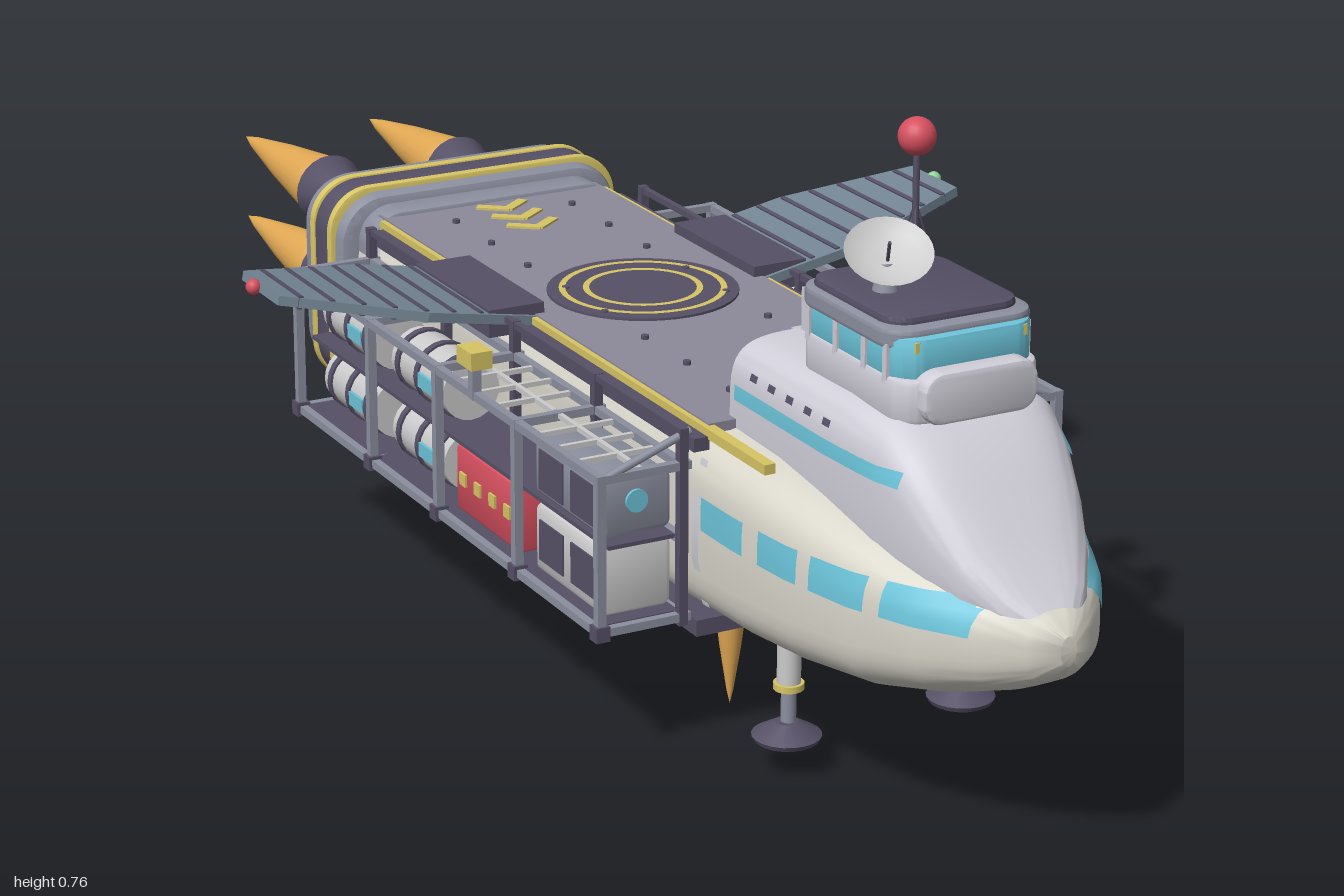
import * as THREE from 'three';
import { toCreasedNormals } from 'three/addons/utils/BufferGeometryUtils.js';

const C = { hull: 0xd8d5ca, upper: 0xcfced8, dark: 0x565066, deck: 0x8d899b, steel: 0x8c909f, blue: 0x6cc4da,
  yellow: 0xd8c565, red: 0xd6505f, flame: 0xe2a954, wing: 0x748795, white: 0xdedfdd, green: 0x8fd694 };
const mats = {};
const mat = (c) => (mats[c] ??= new THREE.MeshStandardMaterial({ color: c, side: THREE.DoubleSide }));

export function createModel() {
  const root = new THREE.Group();
  let target = root;
  const section = (name) => { target = new THREE.Group(); target.name = name; root.add(target); };
  const add = (name, geo, color, x = 0, y = 0, z = 0) => {
    const m = new THREE.Mesh(geo, mat(color));
    m.name = name;
    m.position.set(x, y, z);
    target.add(m);
    return m;
  };
  const box = (name, w, h, d, x, y, z, c) => add(name, new THREE.BoxGeometry(w, h, d), c, x, y, z);
  const cyl = (name, r0, r1, h, x, y, z, c, n = 20) => add(name, new THREE.CylinderGeometry(r0, r1, h, n), c, x, y, z);
  const rod = (name, a, b, r, c) => {
    const p = new THREE.Vector3(...a), q = new THREE.Vector3(...b), d = q.clone().sub(p);
    const m = cyl(name, r, r, d.length(), 0, 0, 0, c, 8);
    m.position.copy(p).add(q).multiplyScalar(0.5);
    m.quaternion.setFromUnitVectors(new THREE.Vector3(0, 1, 0), d.normalize());
    return m;
  };
  // Rounded rectangle slab, centred, extruded along z
  const slab = (w, h, d, r, bevel = 0.006) => {
    const s = new THREE.Shape(), a = w / 2 - bevel, b = h / 2 - bevel;
    s.absarc(a - r, b - r, r, 0, Math.PI / 2);
    s.absarc(-a + r, b - r, r, Math.PI / 2, Math.PI);
    s.absarc(-a + r, -b + r, r, Math.PI, Math.PI * 1.5);
    s.absarc(a - r, -b + r, r, Math.PI * 1.5, Math.PI * 2);
    const g = new THREE.ExtrudeGeometry(s, { depth: d - 2 * bevel, bevelEnabled: true, bevelSize: bevel, bevelThickness: bevel, bevelSegments: 2, curveSegments: 6 });
    return toCreasedNormals(g.translate(0, 0, bevel - d / 2), 0.6);
  };
  // Superelliptic shell through stations [z, halfWidth, bottom, top, exponent]
  const station = (st, z) => {
    let i = 0;
    while (i < st.length - 2 && z > st[i + 1][0]) i++;
    const t = (z - st[i][0]) / (st[i + 1][0] - st[i][0]);
    return st[i].map((v, k) => v + (st[i + 1][k] - v) * t);
  };
  const loft = (st, n = 48) => {
    const pos = [], idx = [];
    st.forEach(([z, w, y0, y1, e]) => {
      for (let j = 0; j < n; j++) {
        const t = (j / n) * Math.PI * 2, c = Math.cos(t), s = Math.sin(t), f = (v) => Math.sign(v) * Math.abs(v) ** (2 / e);
        pos.push(w * f(c), (y0 + y1) / 2 + ((y1 - y0) / 2) * f(s), z);
      }
    });
    for (let i = 0; i < st.length - 1; i++) for (let j = 0; j < n; j++) {
      const k = (j + 1) % n, a = i * n;
      idx.push(a + j, a + k, a + n + k, a + j, a + n + k, a + n + j);
    }
    const last = (st.length - 1) * n;
    for (let j = 1; j < n - 1; j++) idx.push(0, j + 1, j, last, last + j, last + j + 1);
    const g = new THREE.BufferGeometry();
    g.setAttribute('position', new THREE.Float32BufferAttribute(pos, 3));
    g.setIndex(idx);
    return toCreasedNormals(g, 0.7);
  };
  // Strip lying on the side of a shell
  const band = (name, st, s, z0, z1, y0, y1, c) => {
    const g = new THREE.PlaneGeometry(1, 1, 10, 3), p = g.attributes.position;
    for (let i = 0; i < p.count; i++) {
      const z = z0 + (p.getX(i) + 0.5) * (z1 - z0), y = y0 + (p.getY(i) + 0.5) * (y1 - y0);
      const [, w, b, t, e] = station(st, z), v = Math.min(1, Math.abs((2 * y - b - t) / (t - b)));
      p.setXYZ(i, s * (w * (1 - v ** e) ** (1 / e) + 0.003), y, z);
    }
    g.computeVertexNormals();
    add(name, g, c);
  };
  const flame = (r, len) => new THREE.LatheGeometry(
    [[0, 0], [r, 0.001], [r * 0.96, len * 0.12], [r * 0.62, len * 0.5], [r * 0.2, len * 0.88], [0, len]].map((p) => new THREE.Vector2(...p)), 24);

  // Hull with pointed nose
  section('hull');
  const hull = [[-0.42, 0.183, 0.155, 0.388, 5], [0.45, 0.185, 0.155, 0.388, 5], [0.6, 0.183, 0.158, 0.386, 4.5], [0.7, 0.174, 0.162, 0.377, 4],
    [0.8, 0.153, 0.17, 0.36, 3.5], [0.88, 0.12, 0.188, 0.34, 3], [0.94, 0.08, 0.21, 0.322, 2.7], [0.98, 0.042, 0.232, 0.308, 2.4], [1, 0.01, 0.255, 0.29, 2]];
  add('hullShell', loft(hull), C.hull);
  box('bellyPlate', 0.36, 0.02, 0.92, 0, 0.15, 0.05, C.dark);
  box('bellySpine', 0.2, 0.008, 0.8, 0, 0.139, 0.05, C.deck);
  box('deck', 0.32, 0.012, 0.9, 0, 0.388, 0.05, C.deck);
  for (const s of [-1, 1]) {
    [[0.53, 0.62], [0.65, 0.72], [0.74, 0.82], [0.84, 0.935]].forEach(([a, b]) => band('sideWindow', hull, s, a, b, 0.28, 0.32, C.blue));
    [[-0.41, -0.36], [0.51, 0.525]].forEach(([a, b]) => band('sidePanel', hull, s, a, b, 0.18, 0.36, C.upper));
    band('rearStripe', hull, s, -0.41, -0.35, 0.28, 0.32, C.blue);
    box('deckEdge', 0.014, 0.012, 1.02, s * 0.16, 0.386, 0.13, C.yellow);
    box('deckRail', 0.02, 0.016, 0.88, s * 0.175, 0.375, 0.07, C.dark);
    for (let i = 0; i < 8; i++) cyl('deckStud', 0.005, 0.005, 0.006, s * 0.085, 0.396, -0.32 + i * 0.105, C.dark, 8);
    for (let i = 0; i < 3; i++) {
      const m = box('deckChevron', 0.045, 0.003, 0.014, s * 0.016, 0.396, -0.35 + i * 0.045, C.yellow);
      m.rotation.y = s * 0.65;
    }
  }
  cyl('landingPad', 0.12, 0.12, 0.004, 0, 0.395, 0.04, C.dark, 40);
  for (const r of [0.105, 0.075]) add('padRing', new THREE.RingGeometry(r - 0.008, r, 40).rotateX(-Math.PI / 2), C.yellow, 0, 0.3985, 0.04);

  // Raised forward house and bridge
  section('bridge');
  const house = [[0.485, 0.125, 0.28, 0.485, 5], [0.7, 0.125, 0.28, 0.49, 4.5], [0.79, 0.12, 0.28, 0.488, 4], [0.83, 0.112, 0.28, 0.462, 3.6],
    [0.87, 0.1, 0.28, 0.42, 3.3], [0.91, 0.082, 0.28, 0.373, 3], [0.95, 0.055, 0.28, 0.33, 3], [0.975, 0.03, 0.28, 0.308, 3]];
  add('houseShell', loft(house), C.upper);
  for (const s of [-1, 1]) {
    band('houseWindow', house, s, 0.5, 0.83, 0.418, 0.436, C.blue);
    for (let i = 0; i < 5; i++) band('houseVent', house, s, 0.53 + i * 0.04, 0.545 + i * 0.04, 0.45, 0.458, C.dark);
    box('rearWindow', 0.03, 0.03, 0.006, s * 0.075, 0.44, 0.484, C.dark);
  }
  box('rearDoorFrame', 0.07, 0.085, 0.02, 0, 0.438, 0.478, C.white);
  box('rearDoor', 0.045, 0.07, 0.006, 0, 0.43, 0.468, C.dark);
  const floor = (name, w, d, h, r, y, z, c) => add(name, slab(w, d, h, r).rotateX(Math.PI / 2), c, 0, y, z);
  floor('bridgeBase', 0.184, 0.235, 0.05, 0.03, 0.5, 0.69, C.upper);
  floor('bridgeGlass', 0.178, 0.225, 0.06, 0.03, 0.54, 0.685, C.blue);
  floor('bridgeRoof', 0.19, 0.215, 0.024, 0.03, 0.566, 0.68, C.steel);
  floor('roofTop', 0.17, 0.19, 0.016, 0.025, 0.579, 0.675, C.dark);
  add('bridgeFront', slab(0.145, 0.06, 0.04, 0.018), C.upper, 0, 0.506, 0.80);
  box('bridgeBack', 0.16, 0.05, 0.01, 0, 0.54, 0.572, C.upper);
  for (const s of [-1, 1]) {
    for (const z of [0.6, 0.66, 0.72, 0.765]) box('windowPost', 0.006, 0.045, 0.009, s * 0.089, 0.538, z, C.upper);
    box('headlamp', 0.026, 0.012, 0.01, s * 0.058, 0.56, 0.79, C.yellow);
  }
  // Mast and dish
  rod('mast', [0.04, 0.58, 0.61], [0.04, 0.72, 0.61], 0.004, C.dark);
  add('mastBall', new THREE.SphereGeometry(0.022, 20, 14), C.red, 0.04, 0.735, 0.61);
  for (let i = 0; i < 3; i++) {
    const a = i * 2.094;
    rod('mastStay', [0.04 + Math.cos(a) * 0.025, 0.585, 0.61 + Math.sin(a) * 0.025], [0.04, 0.66, 0.61], 0.0012, C.dark);
  }
  cyl('dishBase', 0.008, 0.016, 0.035, -0.037, 0.6, 0.675, C.steel);
  const dish = add('dish', new THREE.LatheGeometry([[0, 0], [0.02, 0.002], [0.038, 0.008], [0.05, 0.016]].map((p) => new THREE.Vector2(...p)), 28), C.white, -0.035, 0.62, 0.675);
  const aim = new THREE.Vector3(-0.2, 0.85, 0.48).normalize();
  dish.quaternion.setFromUnitVectors(new THREE.Vector3(0, 1, 0), aim);
  rod('dishFeed', [-0.035, 0.62, 0.675], [-0.042, 0.646, 0.69], 0.002, C.dark);

  // Engine block, nozzles and flames
  section('engines');
  add('engineCollar', slab(0.36, 0.25, 0.06, 0.04), C.steel, 0, 0.275, -0.41);
  add('engineBlock', slab(0.41, 0.27, 0.13, 0.05, 0.014), C.steel, 0, 0.278, -0.485);
  add('engineBand', slab(0.42, 0.28, 0.05, 0.055), C.dark, 0, 0.278, -0.475);
  for (const z of [-0.448, -0.503]) add('engineStripe', slab(0.424, 0.284, 0.014, 0.057, 0.003), C.yellow, 0, 0.278, z);
  add('rearPlate', slab(0.37, 0.23, 0.02, 0.04), C.dark, 0, 0.278, -0.549);
  for (const x of [-0.098, 0.098]) for (const y of [0.218, 0.338]) {
    const neck = cyl('nozzleNeck', 0.033, 0.04, 0.04, x, y, -0.57, C.wing);
    const bell = add('nozzle', new THREE.LatheGeometry([[0.034, 0], [0.03, 0.03], [0.036, 0.07], [0.05, 0.115], [0.04, 0.115]].map((p) => new THREE.Vector2(...p)), 24), C.dark, x, y, -0.585);
    const fire = add('exhaustFlame', flame(0.044, 0.305), C.flame, x, y, -0.695);
    for (const m of [neck, bell, fire]) m.rotation.x = -Math.PI / 2;
  }

  // Landing legs and lift thrusters
  section('undercarriage');
  for (const s of [-1, 1]) {
    for (const z of [0.61, -0.095]) {
      cyl('legUpper', 0.014, 0.014, 0.06, s * 0.115, 0.135, z, C.white);
      cyl('legLower', 0.009, 0.009, 0.06, s * 0.115, 0.085, z, C.steel);
      cyl('legRing', 0.018, 0.018, 0.008, s * 0.115, 0.106, z, C.yellow);
      cyl('foot', 0.014, 0.041, 0.016, s * 0.117, 0.054, z, C.dark);
      cyl('footPad', 0.041, 0.038, 0.006, s * 0.117, 0.043, z, C.dark);
    }
    for (const z of [0.42, -0.295]) {
      cyl('liftNozzle', 0.026, 0.026, 0.02, s * 0.085, 0.15, z, C.dark);
      add('liftFlame', flame(0.021, 0.15), C.flame, s * 0.085, 0.152, z).rotation.x = Math.PI;
    }
  }

  // Wings with ribs and tip lights
  section('wings');
  for (const s of [-1, 1]) {
    box('wingRoot', 0.075, 0.035, 0.21, s * 0.185, 0.39, -0.045, C.dark);
    const shape = new THREE.Shape([[0, 0.065], [0.15, 0.065], [0.325, 0.01], [0.325, -0.1], [0.15, -0.15], [0, -0.15]].map(([x, z]) => new THREE.Vector2(s * x, z)));
    const wing = add('wing', new THREE.ExtrudeGeometry(shape, { depth: 0.012, bevelEnabled: false }).rotateX(Math.PI / 2), C.wing, s * 0.157, 0.392, 0);
    wing.rotation.z = s * 0.185;
    for (let i = 0; i < 8; i++) {
      const x = 0.04 + i * 0.037, k = Math.max(0, (x - 0.15) / 0.175);
      const rib = new THREE.Mesh(new THREE.BoxGeometry(0.006, 0.016, 0.205 - k * 0.1), mat(C.dark));
      rib.name = 'wingRib';
      rib.position.set(s * x, -0.006, -0.0425);
      wing.add(rib);
    }
    add('tipLight', new THREE.SphereGeometry(0.01, 14, 10), s > 0 ? C.green : C.red, s * 0.482, 0.445, -0.055);
  }

  // Cargo racks along both sides
  section('cargoRacks');
  const posts = [0.51, 0.3, 0.085, -0.11, -0.335];
  for (const s of [-1, 1]) {
    for (const x of [0.2, 0.305]) for (const y of [0.17, 0.265, 0.355]) if (y !== 0.265 || x < 0.3)
      box('rackRail', 0.01, 0.01, 0.85, s * x, y, 0.0875, C.steel);
    box('rackFloor', 0.1, 0.006, 0.83, s * 0.25, 0.172, 0.0875, C.dark);
    box('rackShelf', 0.09, 0.005, 0.83, s * 0.245, 0.267, 0.0875, C.dark);
    box('upperRail', 0.008, 0.008, 0.84, s * 0.2, 0.395, 0.085, C.dark);
    for (const z of posts) {
      box('rackPost', 0.011, 0.195, 0.011, s * 0.305, 0.263, z, C.steel);
      box('innerPost', 0.011, 0.24, 0.011, s * 0.2, 0.28, z, C.dark);
      for (const y of [0.17, 0.355]) box('rackBeam', 0.12, 0.01, 0.01, s * 0.25, y, z, C.steel);
      box('rackCorner', 0.018, 0.018, 0.018, s * 0.305, 0.17, z, C.dark);
    }
    rod('rackBrace', [s * 0.3, 0.355, 0.51], [s * 0.19, 0.395, 0.51], 0.005, C.steel);
    const crate = (name, y, z, h, c) => add(name, slab(0.09, h, 0.165, 0.006, 0.004), c, s * 0.247, y, z);
    const tank = (y, z, r) => {
      cyl('tank', r, r, 0.15, s * 0.25, y, z, C.white).rotation.x = Math.PI / 2;
      for (const d of [-0.055, 0, 0.055]) cyl('tankHoop', r + 0.003, r + 0.003, 0.01, s * 0.25, y, z + d, C.dark).rotation.x = Math.PI / 2;
      box('tankLabel', 0.004, 0.018, 0.04, s * (0.25 + r + 0.001), y, z + 0.0275, C.blue);
    };
    // Front bay: machinery above, crate below
    crate('machineCrate', 0.308, 0.405, 0.07, C.steel);
    cyl('machineLens', 0.014, 0.014, 0.006, s * 0.247, 0.313, 0.488, C.blue).rotation.x = Math.PI / 2;
    crate('frontCrate', 0.22, 0.405, 0.085, s > 0 ? C.steel : C.white);
    for (const y of [0.22, 0.308]) for (const z of [0.365, 0.445]) box('cratePanel', 0.004, 0.05, 0.06, s * 0.292, y, z, C.dark);
    // Middle bay: red supply crate under an open grid
    crate('redCrate', 0.222, 0.19, 0.088, C.red);
    for (let i = 0; i < 4; i++) box('crateStud', 0.004, 0.016, 0.016, s * 0.293, 0.225, 0.13 + i * 0.04, C.yellow);
    for (const z of [0.14, 0.19, 0.24, 0.35, 0.4, 0.45]) box('rackGrid', 0.1, 0.006, 0.006, s * 0.25, 0.356, z, C.white);
    for (const z of [0.19, 0.405]) box('rackGridSpine', 0.006, 0.006, 0.2, s * 0.25, 0.356, z, C.white);
    // Rear bays: stacked tanks
    for (const z of [-0.01, -0.22]) for (const y of [0.22, 0.311]) tank(y, z, 0.038);
    // Camera on the upper rail
    const cz = s > 0 ? 0.385 : 0.19;
    box('cameraPost', 0.012, 0.05, 0.012, s * 0.305, 0.375, cz, C.steel);
    box('camera', 0.028, 0.022, 0.04, s * 0.305, 0.403, cz, C.yellow);
  }
  return root;
}
